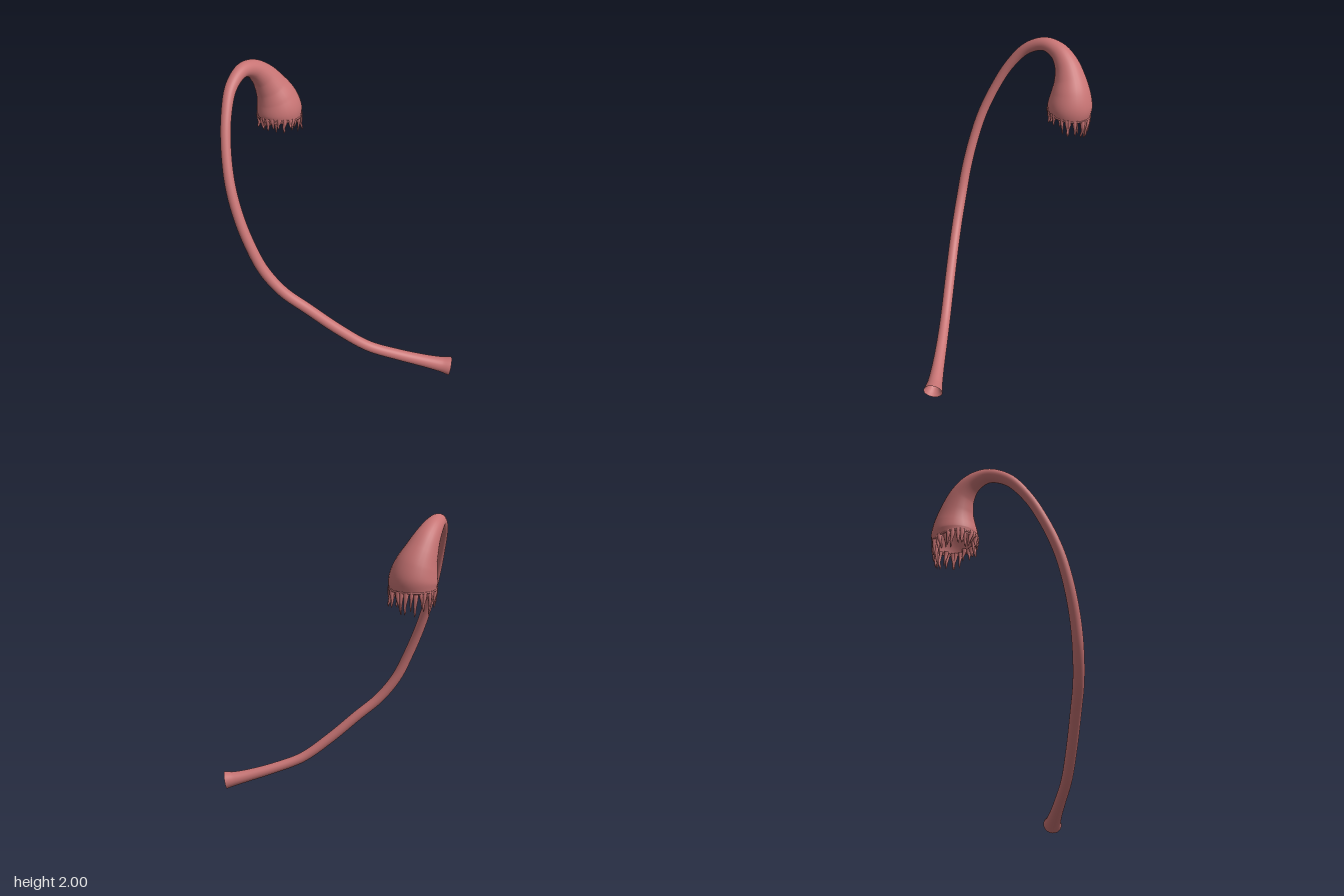
import * as THREE from 'three';

const material = new THREE.MeshStandardMaterial({ color: 0xc87474, side: THREE.DoubleSide });

// Small seeded generator for the irregular fringe
function seeded(seed) {
  return () => (seed = (seed * 16807) % 2147483647) / 2147483647;
}

// Sweeps a circle along stations [x, y, z, radius] with twist-free frames
function sweep(stations, steps, sides) {
  const path = new THREE.CatmullRomCurve3(stations.map(s => new THREE.Vector3(s[0], s[1], s[2])));
  const width = new THREE.CatmullRomCurve3(stations.map((s, i) => new THREE.Vector3(i * 0.1, s[3], 0)));
  const normal = new THREE.Vector3();
  const positions = [], index = [];
  for (let i = 0; i <= steps; i++) {
    const t = i / steps;
    const p = path.getPoint(t), tangent = path.getTangent(t);
    if (i === 0) normal.set(0, 0, 1);
    normal.addScaledVector(tangent, -normal.dot(tangent)).normalize();
    const binormal = new THREE.Vector3().crossVectors(tangent, normal);
    const r = Math.max(width.getPoint(t).y, 0.0005);
    for (let j = 0; j < sides; j++) {
      const a = j / sides * Math.PI * 2;
      const v = p.clone().addScaledVector(normal, Math.cos(a) * r).addScaledVector(binormal, Math.sin(a) * r);
      positions.push(v.x, v.y, v.z);
      if (i < steps) {
        const k = (j + 1) % sides, b = i * sides, c = b + sides;
        index.push(b + j, b + k, c + j, b + k, c + k, c + j);
      }
    }
  }
  const g = new THREE.BufferGeometry();
  g.setAttribute('position', new THREE.Float32BufferAttribute(positions, 3));
  g.setIndex(index);
  g.computeVertexNormals();
  return g;
}

export function createModel() {
  const group = new THREE.Group();
  const add = (name, geometry, parent = group) => {
    const mesh = new THREE.Mesh(geometry, material);
    mesh.name = name;
    parent.add(mesh);
  };

  // Long curved stalk swelling into the drooping bell
  const stalk = [
    [0.76, 0.067, 0.3, 0.064], [0.7, 0.077, 0.305, 0.052], [0.58, 0.105, 0.32, 0.043],
    [0.4, 0.155, 0.345, 0.038], [0.2, 0.228, 0.375, 0.036], [0, 0.37, 0.4, 0.036],
    [-0.2, 0.54, 0.42, 0.036], [-0.36, 0.675, 0.432, 0.036], [-0.48, 0.83, 0.428, 0.036],
    [-0.56, 1.0, 0.412, 0.035], [-0.635, 1.2, 0.375, 0.034], [-0.69, 1.4, 0.318, 0.033],
    [-0.725, 1.6, 0.23, 0.032], [-0.74, 1.77, 0.13, 0.033], [-0.737, 1.9, 0.01, 0.038],
    [-0.705, 1.954, -0.12, 0.046], [-0.665, 1.925, -0.22, 0.062],
  ];
  const bell = [
    [-0.622, 1.855, -0.283, 0.083], [-0.585, 1.77, -0.315, 0.108], [-0.557, 1.69, -0.328, 0.134],
    [-0.542, 1.615, -0.33, 0.15], [-0.54, 1.555, -0.327, 0.144],
  ];
  add('stalkAndBell', sweep([...stalk, ...bell], 168, 28));

  // Funnel-shaped passage inside the cut end of the stalk
  add('stalkPassage', sweep([
    [0.76, 0.067, 0.3, 0.064], [0.74, 0.07, 0.302, 0.05], [0.69, 0.079, 0.306, 0.028],
    [0.58, 0.105, 0.32, 0.018], [0.4, 0.155, 0.345, 0.014],
  ], 24, 24));

  // Inner wall of the bell, narrowing upwards
  add('bellLining', sweep([
    [-0.54, 1.555, -0.327, 0.144], [-0.542, 1.6, -0.329, 0.13], [-0.557, 1.69, -0.327, 0.095],
    [-0.585, 1.77, -0.315, 0.055], [-0.622, 1.855, -0.283, 0.025], [-0.665, 1.925, -0.22, 0.012],
  ], 24, 28));

  // Fringe of tapering, wavy fingers around the mouth
  const fringe = new THREE.Group();
  fringe.name = 'fringe';
  group.add(fringe);
  const random = seeded(4271);
  const count = 30;
  for (let i = 0; i < count; i++) {
    const a = (i + (random() - 0.5) * 0.5) / count * Math.PI * 2;
    const inner = i % 5 === 2 ? 0.022 : 0;
    const length = 0.065 + 0.06 * random() - 0.02 * Math.sin(a);
    const sway = (random() - 0.5) * 0.2, lean = (random() - 0.55) * 0.03;
    const base = 0.013 + 0.006 * random();
    const station = (f, turn, out, r) => {
      const b = a + turn, d = 0.136 - inner + out;
      return [-0.54 + Math.cos(b) * d, 1.57 + 0.17 * Math.sin(a) * 0.14 - f * length, -0.327 + Math.sin(b) * d, r];
    };
    add('finger', sweep([
      station(0, 0, 0, base), station(0.3, sway * 0.2, 0.003, base * 0.8),
      station(0.65, sway * 0.9, lean * 0.3, base * 0.5),
      station(0.9, sway * 0.8, lean, base * 0.35), station(1.05, sway * 1.3, lean * 1.1, 0.001),
    ], 14, 8), fringe);
  }

  // Thin raised fold where the fringe meets the bell
  const fold = new THREE.TorusGeometry(0.144, 0.006, 8, 64);
  fold.rotateX(Math.PI / 2 - 0.12);
  fold.translate(-0.54, 1.56, -0.327);
  add('mouthFold', fold);

  return group;
}
